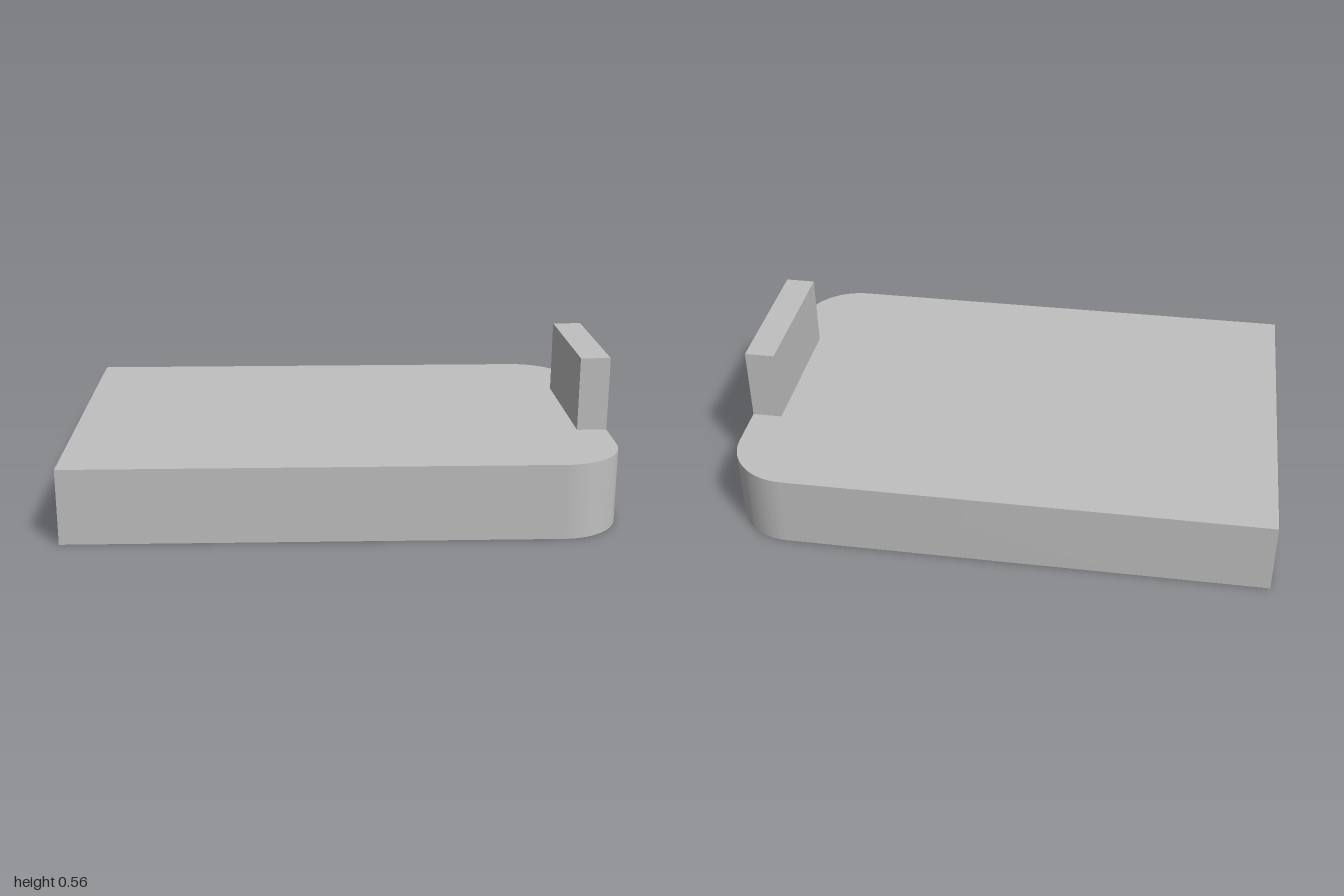
import * as THREE from 'three';
import { toCreasedNormals } from 'three/addons/utils/BufferGeometryUtils.js';

export function createModel() {
  const model = new THREE.Group();
  model.name = 'plateWithTab';

  const grey = new THREE.MeshStandardMaterial({ color: 0xc0c0c0 });
  grey.name = 'grey';

  const halfDepth = 0.667, thickness = 0.278, radius = 0.222;

  // Base plate: square at one end, rounded corners at the other
  const outline = new THREE.Shape();
  outline.moveTo(-1, -halfDepth);
  outline.lineTo(1 - radius, -halfDepth);
  outline.absarc(1 - radius, -halfDepth + radius, radius, -Math.PI / 2, 0, false);
  outline.lineTo(1, halfDepth - radius);
  outline.absarc(1 - radius, halfDepth - radius, radius, 0, Math.PI / 2, false);
  outline.lineTo(-1, halfDepth);
  outline.closePath();
  const plateGeometry = new THREE.ExtrudeGeometry(outline, {
    depth: thickness, bevelEnabled: false, curveSegments: 24,
  });
  plateGeometry.rotateX(-Math.PI / 2);
  const plate = new THREE.Mesh(toCreasedNormals(plateGeometry, Math.PI / 6), grey);
  plate.name = 'basePlate';
  model.add(plate);

  // Upright tab, flush with the rounded end
  const tabWidth = 0.111, tabHeight = 0.278, tabDepth = 0.555;
  const tab = new THREE.Mesh(new THREE.BoxGeometry(tabWidth, tabHeight, tabDepth), grey);
  tab.name = 'uprightTab';
  tab.position.set(1 - tabWidth / 2, thickness + tabHeight / 2, 0);
  model.add(tab);

  return model;
}
